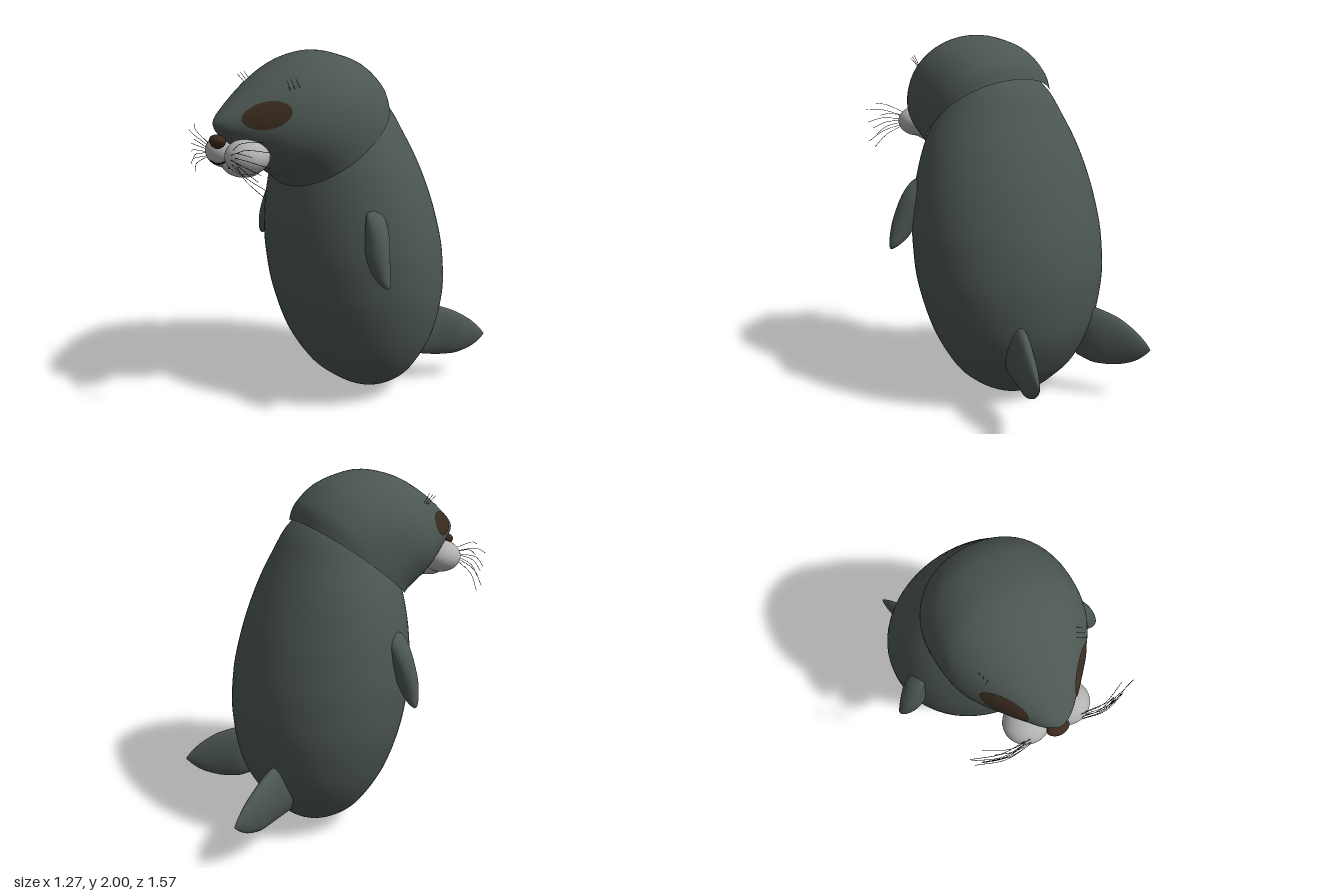
import * as THREE from 'three';

const V = (x, y, z) => new THREE.Vector3(x, y, z);
const mat = (name, color) => {
  const m = new THREE.MeshStandardMaterial({ color });
  m.name = name;
  return m;
};

// Smooth value between rows of numbers
function sampleRows(rows, t) {
  const n = rows.length - 1, f = t * n, i = Math.min(Math.floor(f), n - 1), k = f - i;
  const at = (j) => rows[Math.max(0, Math.min(n, j))];
  const [p0, p1, p2, p3] = [at(i - 1), at(i), at(i + 1), at(i + 2)];
  return p1.map((a, j) => {
    const m0 = (p2[j] - p0[j]) / 2, m1 = (p3[j] - a) / 2, d = p2[j] - a;
    return a + k * (m0 + k * (3 * d - 2 * m0 - m1 + k * (m0 + m1 - 2 * d)));
  });
}

// Loft of rounded rings; row = centre xyz, first half-axis xyz, second half-axis xyz
function loft(rows, segs, steps, power = 1) {
  const pos = [], idx = [];
  const round = (v) => Math.sign(v) * Math.abs(v) ** power;
  for (let i = 0; i <= steps; i++) {
    const r = sampleRows(rows, i / steps);
    for (let j = 0; j < segs; j++) {
      const a = (j / segs) * Math.PI * 2, c = round(Math.cos(a)), s = round(Math.sin(a));
      for (let k = 0; k < 3; k++) pos.push(r[k] + r[k + 3] * c + r[k + 6] * s);
    }
  }
  for (let i = 0; i < steps; i++) for (let j = 0; j < segs; j++) {
    const a = i * segs + j, b = i * segs + (j + 1) % segs;
    idx.push(a, b, a + segs, b, b + segs, a + segs);
  }
  // Turn the faces outward
  const P = (i) => V(pos[3 * i], pos[3 * i + 1], pos[3 * i + 2]);
  const mid = V(0, 0, 0);
  for (let i = 0; i < pos.length / 3; i++) mid.addScaledVector(P(i), 3 / pos.length);
  let vol = 0;
  for (let i = 0; i < idx.length; i += 3) {
    const [a, b, c] = [0, 1, 2].map((k) => P(idx[i + k]).sub(mid));
    vol += a.dot(b.cross(c));
  }
  if (vol < 0) idx.reverse();
  const g = new THREE.BufferGeometry();
  g.setAttribute('position', new THREE.Float32BufferAttribute(pos, 3));
  g.setIndex(idx);
  g.computeVertexNormals();
  return g;
}

export function createModel() {
  const group = new THREE.Group();
  const fur = mat('sealGreyFur', 0x4c5752);
  const pale = mat('paleMuzzle', 0xb2b2b2);
  const eyeBrown = mat('eyeBrown', 0x3a2c1f);
  const noseBrown = mat('noseBrown', 0x3e2a1f);
  const dark = mat('mouthBlack', 0x191715);
  const tan = mat('browHairTan', 0x75664f);
  const add = (name, geo, material) => {
    const m = new THREE.Mesh(geo, material);
    m.name = name;
    group.add(m);
    return m;
  };
  const ball = (name, material, c, r) => {
    const m = add(name, new THREE.SphereGeometry(1, 40, 28), material);
    m.position.set(...c);
    m.scale.set(...r);
    return m;
  };
  const tube = (name, pts, r, material, n = 10) =>
    add(name, new THREE.TubeGeometry(new THREE.CatmullRomCurve3(pts), n, r, 5), material);

  // Body: level rings of height, front z, back z, half width
  const bodyRows = [
    [0, -0.17, -0.17, 0], [0.025, -0.055, -0.28, 0.145], [0.1, 0.06, -0.37, 0.28],
    [0.2, 0.165, -0.455, 0.38], [0.4, 0.285, -0.55, 0.487], [0.65, 0.362, -0.583, 0.555],
    [0.85, 0.393, -0.57, 0.567], [1.0, 0.4, -0.54, 0.56], [1.2, 0.388, -0.48, 0.525],
    [1.4, 0.35, -0.4, 0.462], [1.57, 0.29, -0.315, 0.375], [1.7, 0.22, -0.24, 0.29],
    [1.8, 0.13, -0.13, 0.16], [1.84, 0, 0, 0],
  ].map(([y, f, b, w]) => [0, y, (f + b) / 2, w, 0, 0, 0, 0, (f - b) / 2]);
  add('body', loft(bodyRows, 64, 78), fur);

  // Head: tilted rings of top z y, bottom z y, half width
  const headRows = [
    [-0.207, 1.75, 0.372, 1.308, 0.383], [-0.17, 1.84, 0.4, 1.335, 0.386],
    [-0.06, 1.935, 0.44, 1.365, 0.384], [0.08, 1.985, 0.49, 1.4, 0.372],
    [0.2, 2.0, 0.53, 1.43, 0.345], [0.35, 1.965, 0.58, 1.47, 0.285],
    [0.5, 1.885, 0.64, 1.52, 0.208], [0.63, 1.79, 0.69, 1.565, 0.137],
    [0.72, 1.715, 0.73, 1.6, 0.078], [0.757, 1.675, 0.755, 1.635, 0.03],
    [0.764, 1.655, 0.764, 1.655, 0],
  ].map(([tz, ty, bz, by, w]) =>
    [0, (ty + by) / 2, (tz + bz) / 2, w, 0, 0, 0, (ty - by) / 2, (tz - bz) / 2]);
  const head = add('head', loft(headRows, 64, 60, 0.94), fur);

  // Muzzle pads and chin
  const muzzle = [-1, 1].map((s) =>
    ball(s > 0 ? 'leftMuzzlePad' : 'rightMuzzlePad', pale, [s * 0.108, 1.502, 0.642], [0.118, 0.09, 0.112]));
  muzzle.push(ball('chin', pale, [0, 1.438, 0.615], [0.13, 0.06, 0.095]));

  // Nose: ball narrowed towards the bottom
  const noseGeo = new THREE.SphereGeometry(1, 32, 20);
  const np = noseGeo.attributes.position;
  for (let i = 0; i < np.count; i++) np.setX(i, np.getX(i) * (0.82 + 0.3 * np.getY(i)));
  noseGeo.computeVertexNormals();
  const nose = add('nose', noseGeo, noseBrown);
  nose.position.set(0, 1.571, 0.748);
  nose.scale.set(0.068, 0.035, 0.037);

  // Finds the surface point in front of x, y
  group.updateMatrixWorld(true);
  const ray = new THREE.Raycaster();
  const onSurface = (targets, x, y, lift) => {
    ray.set(V(x, y, 3), V(0, 0, -1));
    const hit = ray.intersectObjects(targets, false)[0];
    if (!hit) return V(x, y, 0.62);
    const n = hit.face.normal.clone().transformDirection(hit.object.matrixWorld);
    return hit.point.clone().addScaledVector(n, lift);
  };

  // Mouth line
  tube('mouthCleft', [1.55, 1.52, 1.475].map((y) => onSurface(muzzle, 0, y, 0.003)), 0.005, dark);
  for (const s of [-1, 1]) {
    const line = [[0, 1.475], [0.03, 1.455], [0.065, 1.447], [0.1, 1.46]];
    tube('mouthLine', line.map(([x, y]) => onSurface(muzzle, s * x, y, 0.003)), 0.005, dark, 20);
  }

  for (const s of [-1, 1]) {
    const side = s > 0 ? 'left' : 'right';

    // Eye: thin patch that follows the head
    const pos = [], idx = [], N = 36, R = 5, tilt = s * 0.2;
    for (let i = 0; i <= R; i++) for (let j = 0; j < N; j++) {
      const a = (j / N) * Math.PI * 2, u = 0.078 * Math.cos(a) * i / R, v = 0.066 * Math.sin(a) * i / R;
      const x = s * 0.197 + u * Math.cos(tilt) - v * Math.sin(tilt);
      const y = 1.708 + u * Math.sin(tilt) + v * Math.cos(tilt);
      pos.push(...onSurface([head], x, y, 0.005).toArray());
      if (i < R) {
        const p = i * N + j, q = i * N + (j + 1) % N;
        idx.push(p, p + N, q, q, p + N, q + N);
      }
    }
    const eye = new THREE.BufferGeometry();
    eye.setAttribute('position', new THREE.Float32BufferAttribute(pos, 3));
    eye.setIndex(idx);
    eye.computeVertexNormals();
    add(side + 'Eye', eye, eyeBrown);

    // Brow hairs
    for (let i = 0; i < 3; i++) {
      const root = onSurface([head], s * (0.225 + 0.012 * i), 1.825 + 0.006 * i, 0);
      const tip = root.clone().add(V(s * (0.03 - 0.012 * i), 0.05, 0.03));
      tube(side + 'BrowHair', [root, root.clone().lerp(tip, 0.5).add(V(0, 0.006, 0.004)), tip], 0.0015, tan, 4);
    }

    // Whiskers: fan of fine curved hairs
    for (let i = 0; i < 8; i++) {
      const f = i / 7, y0 = 1.545 - 0.075 * f, len = 0.24 + 0.05 * Math.sin(i * 2.3);
      const root = onSurface(muzzle, s * (0.13 + 0.03 * (i % 2)), y0, -0.004);
      const rise = 0.07 - 0.19 * f;
      const mid = root.clone().add(V(s * len * 0.5, rise * 0.55 + 0.015, 0.012));
      const tip = root.clone().add(V(s * len, rise, -0.04 + 0.012 * (i % 3)));
      tube(side + 'Whisker', [root, mid, tip], 0.0014, dark, 8);
    }

    // Front flipper: height, inner x, outer x, back z, front z
    const frontRows = [
      [1.226, 0.47, 0.47, 0.125, 0.125], [1.212, 0.443, 0.49, 0.085, 0.165],
      [1.17, 0.443, 0.535, 0.073, 0.183], [1.1, 0.447, 0.577, 0.077, 0.196],
      [1.0, 0.466, 0.612, 0.098, 0.207], [0.92, 0.512, 0.63, 0.115, 0.199],
      [0.875, 0.572, 0.637, 0.13, 0.182], [0.855, 0.612, 0.634, 0.147, 0.165],
      [0.851, 0.625, 0.625, 0.156, 0.156],
    ].map(([y, a, b, c, d]) =>
      [s * (a + b) / 2, y, (c + d) / 2, (b - a) / 2, 0, 0, 0, 0, (d - c) / 2]);
    add(side + 'FrontFlipper', loft(frontRows, 28, 40), fur);

    // Rear flipper: z, centre x, half thickness, bottom y, top y
    const rearRows = [
      [-0.4, 0.255, 0.05, 0.2, 0.5], [-0.49, 0.275, 0.058, 0.178, 0.497],
      [-0.55, 0.303, 0.058, 0.174, 0.48], [-0.62, 0.342, 0.05, 0.18, 0.447],
      [-0.7, 0.38, 0.034, 0.21, 0.39], [-0.755, 0.406, 0.016, 0.252, 0.333],
      [-0.786, 0.42, 0, 0.29, 0.29],
    ].map(([z, x, h, b, t]) =>
      [s * x, (b + t) / 2, z, h, 0, 0, 0, (t - b) / 2, 0]);
    add(side + 'RearFlipper', loft(rearRows, 28, 36), fur);
  }
  return group;
}
